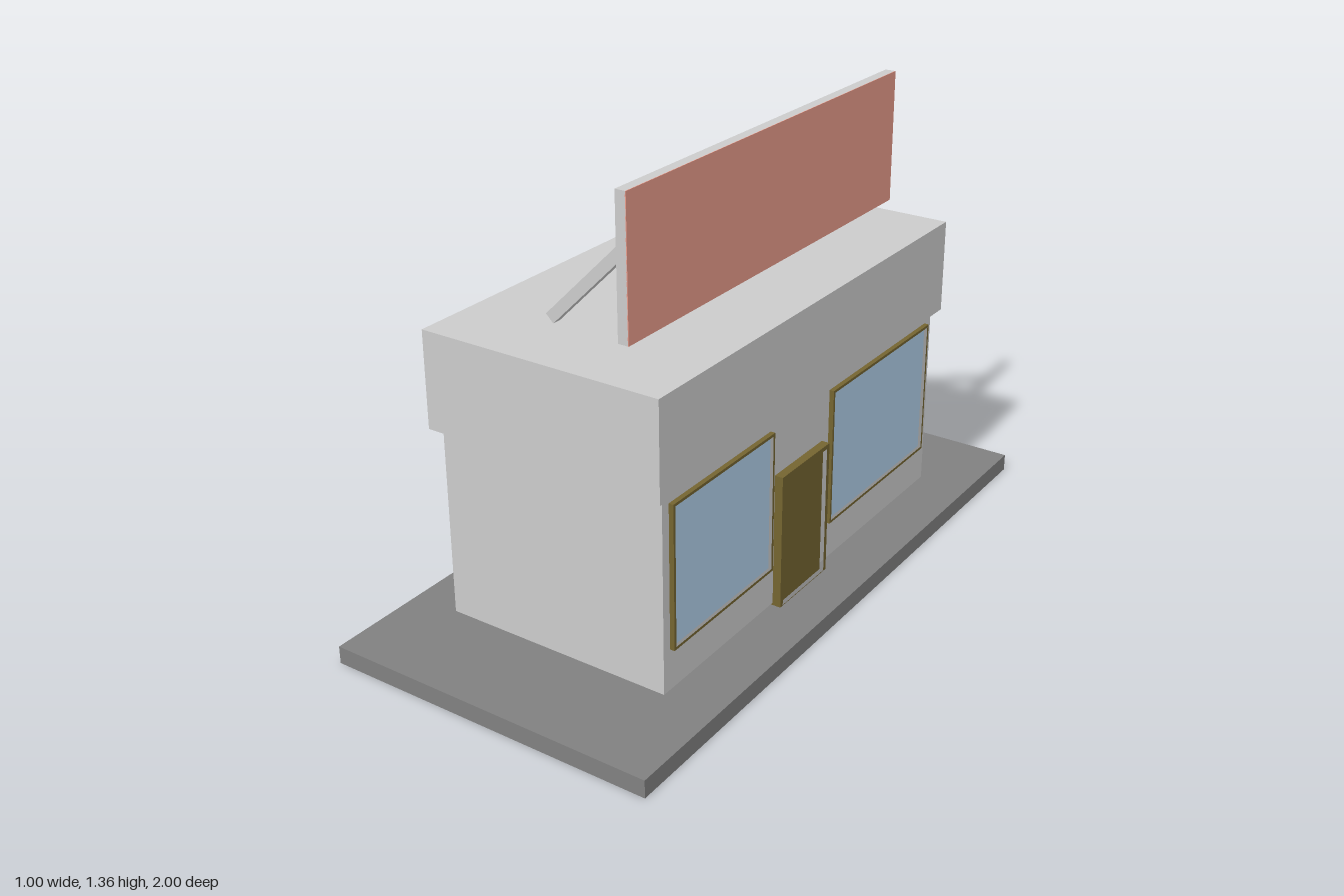
import * as THREE from 'three';

const material = (color) => new THREE.MeshStandardMaterial({ color });

// Box given by its minimum and maximum corners
function box(name, mat, [x0, y0, z0], [x1, y1, z1]) {
  const mesh = new THREE.Mesh(new THREE.BoxGeometry(x1 - x0, y1 - y0, z1 - z0), mat);
  mesh.position.set((x0 + x1) / 2, (y0 + y1) / 2, (z0 + z1) / 2);
  mesh.name = name;
  return mesh;
}

// Rectangle with a smaller rectangular opening, in the z-y plane, extruded along x
function frame(name, mat, x0, x1, [z0, y0, z1, y1], side, bottom) {
  const rect = (path, a, b, c, d) => path.moveTo(-a, b).lineTo(-c, b).lineTo(-c, d).lineTo(-a, d).closePath();
  const shape = rect(new THREE.Shape(), z0, y0, z1, y1);
  shape.holes.push(rect(new THREE.Path(), z0 + side, y0 + bottom, z1 - side, y1 - side));
  const geometry = new THREE.ExtrudeGeometry(shape, { depth: x1 - x0, bevelEnabled: false });
  geometry.rotateY(Math.PI / 2);
  const mesh = new THREE.Mesh(geometry, mat);
  mesh.position.x = x0;
  mesh.name = name;
  return mesh;
}

export function createModel() {
  const model = new THREE.Group();
  model.name = 'shop';
  const grey = material(0xcccccc);
  const paving = material(0x808080);
  const wood = material(0x746430);
  const glass = material(0xb0cfe9);
  const red = material(0xe89b8b);

  // Pavement, walls and overhanging parapet block
  model.add(
    box('pavement', paving, [-0.5, 0, -1], [0.5, 0.052, 1]),
    box('walls', grey, [-0.35, 0.06, -0.702], [0.348, 0.625, 0.705]),
    box('parapet', grey, [-0.369, 0.625, -0.735], [0.366, 0.906, 0.738])
  );

  // Shop windows
  for (const [side, z0, z1] of [['left', 0.211, 0.677], ['right', -0.665, -0.096]]) {
    const group = new THREE.Group();
    group.name = side + 'Window';
    group.add(
      frame('windowFrame', wood, 0.345, 0.362, [z0, 0.181, z1, 0.599], 0.008, 0.008),
      box('windowGlass', glass, [0.345, 0.188, z0 + 0.007], [0.352, 0.592, z1 - 0.007])
    );
    model.add(group);
  }

  // Door recessed in its frame
  const door = new THREE.Group();
  door.name = 'door';
  door.add(
    frame('doorFrame', wood, 0.34, 0.373, [-0.061, 0.053, 0.186, 0.457], 0.013, 0.002),
    box('doorPanel', wood, [0.342, 0.054, -0.049], [0.36, 0.445, 0.174])
  );
  model.add(door);

  // Roof sign with a coloured face
  const sign = new THREE.Group();
  sign.name = 'roofSign';
  sign.add(
    box('signBoard', grey, [0.183, 0.968, -0.658], [0.213, 1.357, 0.647]),
    box('signFace', red, [0.212, 0.968, -0.658], [0.215, 1.357, 0.647])
  );

  // Diagonal braces behind the sign
  const start = new THREE.Vector2(-0.109, 0.93);
  const end = new THREE.Vector2(0.198, 1.237);
  for (const z of [0.532, -0.587]) {
    const brace = new THREE.Mesh(new THREE.BoxGeometry(start.distanceTo(end), 0.032, 0.027), grey);
    brace.position.set((start.x + end.x) / 2, (start.y + end.y) / 2, z);
    brace.rotation.z = Math.PI / 4;
    brace.name = 'signBrace';
    sign.add(brace);
  }
  model.add(sign);

  return model;
}
